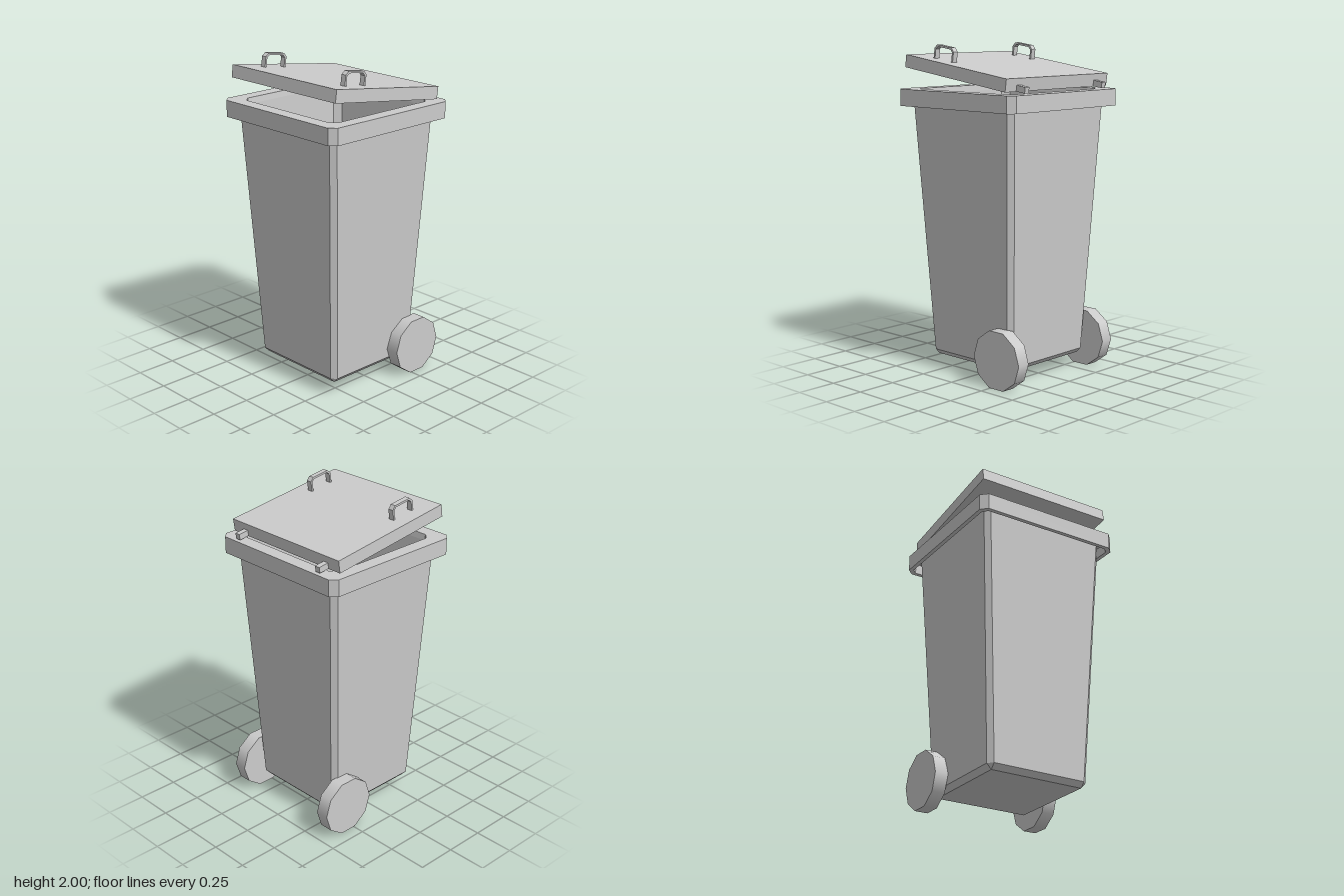
import * as THREE from 'three';

const grey = new THREE.MeshStandardMaterial({ color: 0xcccccc });
const flat = new THREE.MeshStandardMaterial({ color: 0xcccccc, flatShading: true });

function add(parent, name, geometry, material = flat) {
  const mesh = new THREE.Mesh(geometry, material);
  mesh.name = name;
  parent.add(mesh);
  return mesh;
}

// Square with cut corners, seen from above: half width h, corner cut c
function section([y, h, c]) {
  const k = h - c;
  return [[h, k], [k, h], [-k, h], [-h, k], [-h, -k], [-k, -h], [k, -h], [h, -k]]
    .map(([x, z]) => new THREE.Vector3(x, y, z));
}

// Skins a stack of sections, closing the first and last with flat caps
function loft(sections) {
  const rings = sections.map(section);
  const pos = [];
  const tri = (...pts) => pts.forEach((p) => pos.push(p.x, p.y, p.z));
  for (let i = 0; i < rings.length - 1; i++) {
    const a = rings[i], b = rings[i + 1];
    for (let j = 0; j < 8; j++) {
      const n = (j + 1) % 8;
      tri(a[j], b[j], b[n]);
      tri(a[j], b[n], a[n]);
    }
  }
  const first = rings[0], last = rings[rings.length - 1];
  for (let j = 1; j < 7; j++) {
    tri(first[0], first[j], first[j + 1]);
    tri(last[0], last[j + 1], last[j]);
  }
  const geometry = new THREE.BufferGeometry();
  geometry.setAttribute('position', new THREE.Float32BufferAttribute(pos, 3));
  geometry.computeVertexNormals();
  return geometry;
}

// Strap handle: a bent strip with cut upper corners, standing on y = 0
function handleGeometry() {
  const w = 0.082, h = 0.085, c = 0.022, t = 0.012;
  const shape = new THREE.Shape([
    [-w, -0.005], [-w, h - c], [-w + c, h], [w - c, h], [w, h - c], [w, -0.005],
    [w - t, -0.005], [w - t, h - c - t / 2], [w - c - t / 2, h - t],
    [-w + c + t / 2, h - t], [-w + t, h - c - t / 2], [-w + t, -0.005],
  ].map(([x, y]) => new THREE.Vector2(x, y)));
  return new THREE.ExtrudeGeometry(shape, { depth: 0.035, bevelEnabled: false }).translate(0, 0, -0.0175);
}

export function createModel() {
  const model = new THREE.Group();
  model.name = 'wheeledBin';

  // Tapered body, hanging rim, opening, inner walls and floor in one skin
  const body = add(model, 'body', loft([
    [0.083, 0.305, 0],
    [0.115, 0.335, 0.03],
    [1.70, 0.42, 0.03],
    [1.70, 0.455, 0.03],
    [1.635, 0.455, 0.03],
    [1.635, 0.481, 0.04],
    [1.737, 0.481, 0.04],
    [1.737, 0.395, 0.04],
    [1.70, 0.39, 0.04],
    [0.125, 0.315, 0.03],
  ]));
  body.position.x = -0.005;

  // Lid, tipped slightly open with its hinge side low
  const lid = new THREE.Group();
  lid.name = 'lid';
  lid.position.set(-0.015, 1.848, 0);
  lid.rotation.z = -0.138;
  model.add(lid);
  add(lid, 'lidPanel', new THREE.BoxGeometry(0.838, 0.077, 0.896));

  for (const side of [1, -1]) {
    const name = side > 0 ? 'front' : 'back';

    const handle = add(lid, name + 'Handle', handleGeometry());
    handle.position.set(-0.19, 0.0385, side * 0.342);

    const hinge = add(lid, name + 'Hinge', new THREE.BoxGeometry(0.075, 0.036, 0.035));
    hinge.position.set(0.447, -0.019, side * 0.34);

    // Ten-sided wheel
    const wheel = add(model, name + 'Wheel',
      new THREE.CylinderGeometry(0.183, 0.183, 0.084, 10).rotateY(Math.PI / 2).rotateX(Math.PI / 2), grey);
    wheel.position.set(0.297, 0.175, side * 0.382);
  }
  return model;
}
